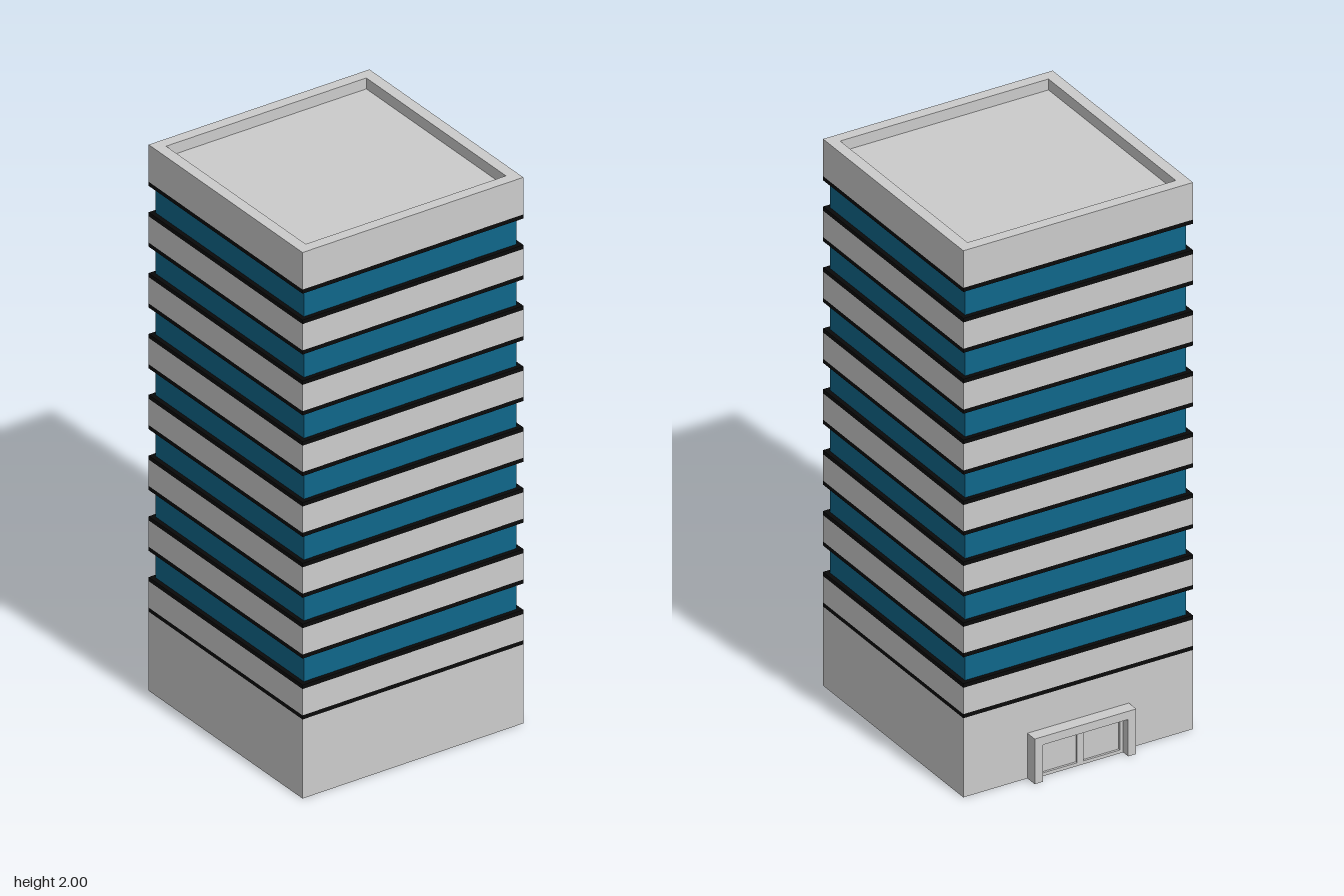
import * as THREE from 'three';

const grey = new THREE.MeshStandardMaterial({ color: 0xcccccc });
const glass = new THREE.MeshStandardMaterial({ color: 0x0f668a });
const black = new THREE.MeshStandardMaterial({ color: 0x0a0a0a });

const W = 0.86;        // tower width and depth
const CZ = 0.02;       // tower centre in z
const FIRST = 0.297;   // height of the lowest dark trim
const STEP = 0.1114;   // spacing of the trims
const TRIM = 0.015;    // thickness of a trim
const BACK = CZ - W / 2;

// Box given by its lower and upper height
function box(parent, name, mat, w, y0, y1, d, x, z) {
  const mesh = new THREE.Mesh(new THREE.BoxGeometry(w, y1 - y0, d), mat);
  mesh.name = name;
  mesh.position.set(x, (y0 + y1) / 2, z);
  parent.add(mesh);
  return mesh;
}

function rectangle(PathType, half) {
  const p = new PathType();
  p.moveTo(-half, -half);
  p.lineTo(half, -half);
  p.lineTo(half, half);
  p.lineTo(-half, half);
  p.closePath();
  return p;
}

function createEntrance() {
  const g = new THREE.Group();
  g.name = 'entrance';
  const w = 0.38, h = 0.165, d = 0.045, t = 0.03;
  const z = BACK - d / 2;
  // Projecting surround
  box(g, 'entranceLintel', grey, w, h - t, h, d, 0, z);
  for (const s of [-1, 1]) {
    box(g, 'entrancePost', grey, t, 0, h - t, d, s * (w - t) / 2, z);
  }
  // Double door, each leaf a thin frame around a recessed panel
  const leaf = w / 2 - t, rail = 0.012, top = h - t;
  for (const s of [-1, 1]) {
    const x = s * leaf / 2;
    box(g, 'doorPanel', grey, leaf, 0, top, 0.006, x, BACK - 0.003);
    for (const e of [-1, 1]) {
      box(g, 'doorStile', grey, rail, 0, top, 0.014, x + e * (leaf - rail) / 2, BACK - 0.007);
    }
    box(g, 'doorBottomRail', grey, leaf - 2 * rail, 0, rail, 0.014, x, BACK - 0.007);
    box(g, 'doorTopRail', grey, leaf - 2 * rail, top - rail, top, 0.014, x, BACK - 0.007);
  }
  return g;
}

export function createModel() {
  const model = new THREE.Group();
  model.name = 'officeTower';

  // Ground floor
  box(model, 'groundFloor', grey, W, 0, FIRST - TRIM / 2, W, 0, CZ);

  // Dark trims with alternating concrete and window bands between them
  for (let i = 0; i < 15; i++) {
    const y = FIRST + i * STEP;
    box(model, 'trim', black, W, y - TRIM / 2, y + TRIM / 2, W, 0, CZ);
    if (i === 14) break;
    const isGlass = i % 2 === 1;
    const size = isGlass ? W - 0.032 : W;
    box(model, isGlass ? 'windowBand' : 'concreteBand', isGlass ? glass : grey,
      size, y + TRIM / 2, y + STEP - TRIM / 2, size, 0, CZ);
  }

  // Top storey: roof slab with a parapet around it
  const top = FIRST + 14 * STEP + TRIM / 2;
  const roof = 1.96;
  box(model, 'roof', grey, W, top, roof, W, 0, CZ);
  const outline = rectangle(THREE.Shape, W / 2);
  outline.holes.push(rectangle(THREE.Path, W / 2 - 0.04));
  const ring = new THREE.ExtrudeGeometry(outline, { depth: 2 - roof, bevelEnabled: false });
  ring.rotateX(-Math.PI / 2);
  const parapet = new THREE.Mesh(ring, grey);
  parapet.name = 'parapet';
  parapet.position.set(0, roof, CZ);
  model.add(parapet);

  model.add(createEntrance());
  return model;
}
